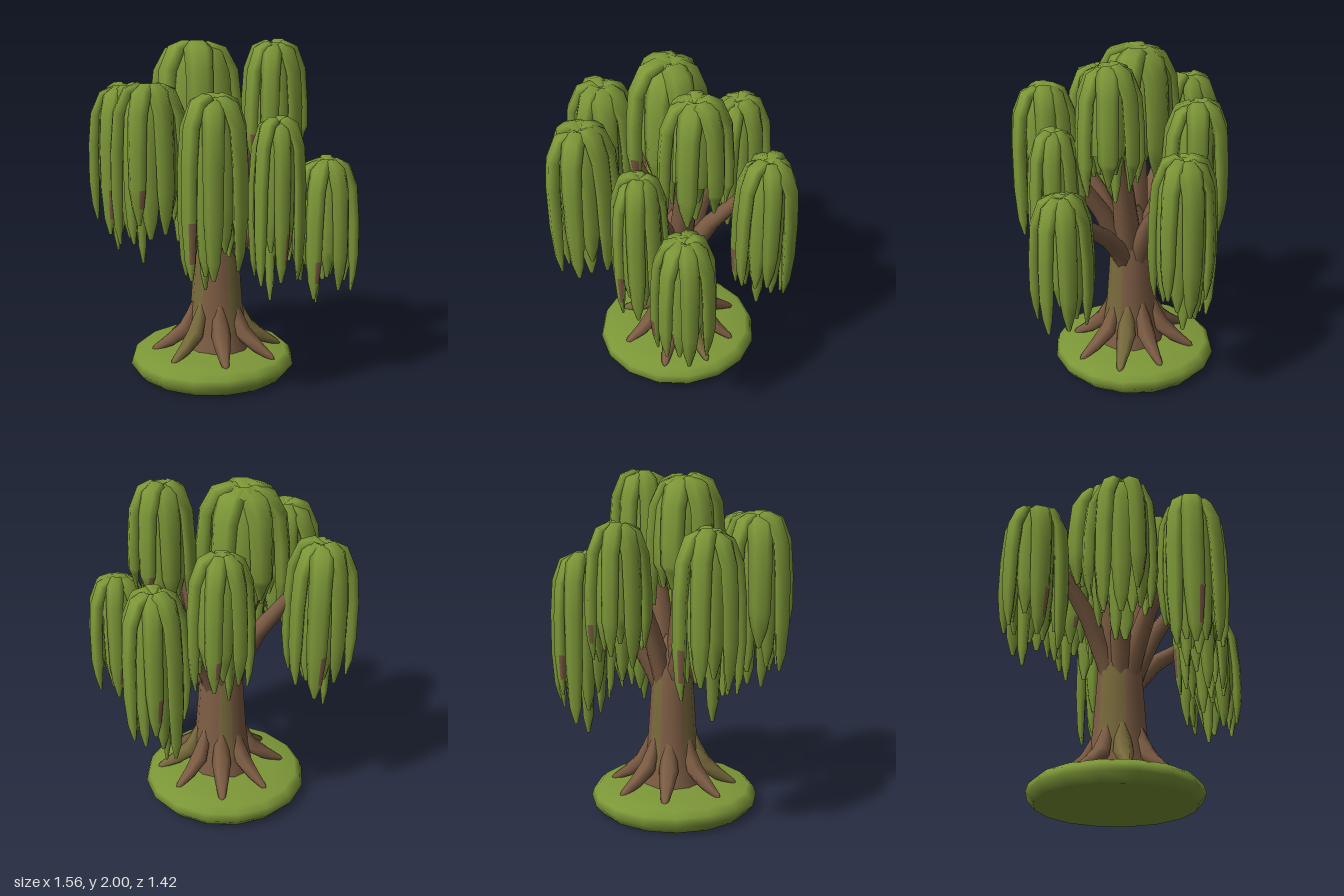
import * as THREE from 'three';
import { mergeGeometries } from 'three/addons/utils/BufferGeometryUtils.js';

const leaf = new THREE.MeshStandardMaterial({ name: 'leafGreen', color: 0x7d9838 });
const bark = new THREE.MeshStandardMaterial({ name: 'barkBrown', color: 0x7d5d44 });
const moss = new THREE.MeshStandardMaterial({ name: 'mossyBark', color: 0x786a3c });

// Small seeded random source
let seed = 7;
const rand = (a, b) => {
  seed = (seed * 16807) % 2147483647;
  return a + (b - a) * (seed / 2147483647);
};

// Sweep an ellipse along points lying in a plane whose normal is `side`
function sweep(pts, wide, thick, side, n) {
  const pos = [], idx = [];
  pts.forEach((p, i) => {
    const t = pts[Math.min(i + 1, pts.length - 1)].clone().sub(pts[Math.max(i - 1, 0)]).normalize();
    const up = t.clone().cross(side).normalize();
    for (let j = 0; j < n; j++) {
      const a = (j / n) * Math.PI * 2;
      const v = p.clone().addScaledVector(side, Math.cos(a) * wide[i]).addScaledVector(up, Math.sin(a) * thick[i]);
      pos.push(v.x, v.y, v.z);
      if (i < pts.length - 1) {
        const k = (j + 1) % n, r = i * n, s = r + n;
        idx.push(r + j, r + k, s + j, r + k, s + k, s + j);
      }
    }
  });
  const g = new THREE.BufferGeometry();
  g.setAttribute('position', new THREE.Float32BufferAttribute(pos, 3));
  g.setIndex(idx);
  g.computeVertexNormals();
  return g;
}

// Sweep in the vertical plane at angle a: profile is [radius, y, halfWidth, halfThickness]
function radial(profile, a, n, cx = 0, cz = 0) {
  const c = Math.cos(a), s = Math.sin(a);
  return sweep(
    profile.map(([r, y]) => new THREE.Vector3(cx + r * c, y, cz + r * s)),
    profile.map(p => p[2]), profile.map(p => p[3]),
    new THREE.Vector3(-s, 0, c), n);
}

function add(parent, name, geometry, material) {
  const m = new THREE.Mesh(geometry, material);
  m.name = name;
  parent.add(m);
  return m;
}

// One hanging strand: rises from the crown, bends over and tapers to a point
const STRAND_SIDES = 6;
function strand(a, k, drop, length, w) {
  return radial([
    [0, -0.045 - drop, 0.03, 0.01],
    [0.06 * k, -0.03 - drop, 0.062 * w, 0.03],
    [0.12 * k, -0.055 - drop, 0.07 * w, 0.036],
    [0.17 * k, -0.17 - drop, 0.066 * w, 0.04],
    [0.188 * k, -0.38, 0.064 * w, 0.04],
    [0.192 * k, -0.4 - (length - 0.4) * 0.45, 0.06 * w, 0.038],
    [0.188 * k, -length + 0.1, 0.042 * w, 0.026],
    [0.178 * k, -length, 0.012, 0.008],
  ], a, STRAND_SIDES);
}

// Foliage clumps: x, top y, z, x radius, z radius, longest strand
const clumps = [
  [-0.58, 1.74, 0.18, 0.205, 0.20, 1.04],
  [-0.25, 1.74, -0.30, 0.195, 0.19, 0.90],
  [-0.12, 2.00, 0.07, 0.27, 0.245, 0.84],
  [0.26, 2.00, -0.17, 0.195, 0.205, 0.82],
  [0.03, 1.54, -0.53, 0.20, 0.195, 1.10],
  [0.60, 1.36, -0.20, 0.19, 0.185, 0.88],
  [0.45, 1.60, 0.09, 0.17, 0.17, 1.05],
  [0.28, 1.75, 0.46, 0.205, 0.215, 1.08],
  [-0.13, 1.785, 0.48, 0.215, 0.215, 1.02],
];

export function createModel() {
  const tree = new THREE.Group();
  tree.name = 'willowTree';
  seed = 7;

  // Grassy round base
  const rim = [[0, 0], [0.455, 0.002], [0.5, 0.055], [0.485, 0.1], [0.45, 0.13], [0.3, 0.145], [0, 0.165]];
  const base = add(tree, 'grassBase', new THREE.LatheGeometry(rim.map(p => new THREE.Vector2(...p)), 16), leaf);
  base.position.set(-0.05, 0, 0.01);

  // Trunk with mossy strips on some of its faces
  const tx = -0.025, sides = 12;
  const stem = [[0.13, 0.21], [0.28, 0.18], [0.42, 0.16], [0.6, 0.147], [0.8, 0.133], [0.95, 0.105], [1.05, 0.04]];
  const trunk = sweep(
    stem.map(([y]) => new THREE.Vector3(tx, y, 0)),
    stem.map(p => p[1]), stem.map(p => p[1] * 0.92), new THREE.Vector3(1, 0, 0), sides);
  for (let f = 0; f < (stem.length - 1) * sides; f++) {
    const row = Math.floor(f / sides), mossy = row > 0 && row < 4 && [0, 4, 7, 8, 11].includes(f % sides);
    trunk.addGroup(f * 6, 6, mossy ? 1 : 0);
  }
  add(tree, 'trunk', trunk, [bark, moss]);

  // Spreading roots
  for (let i = 0; i < 8; i++) {
    const a = (i / 8) * Math.PI * 2 + 0.08 + rand(-0.12, 0.12), e = rand(0.96, 1.07);
    add(tree, 'root', radial([
      [0.12, 0.47, 0.012, 0.012],
      [0.145, 0.36, 0.045, 0.036],
      [0.185, 0.26, 0.058, 0.05],
      [0.27 * e, 0.19, 0.042, 0.038],
      [0.36 * e, 0.14, 0.022, 0.02],
      [0.385 * e, 0.125, 0.002, 0.002],
    ], a, 6, tx, 0), i === 2 || i === 7 ? moss : bark);
  }

  // One branch and one clump of strands for each crown
  clumps.forEach(([x, top, z, rx, rz, len]) => {
    const a = Math.atan2(z, x - tx), d = Math.hypot(x - tx, z), end = top - 0.12;
    const y0 = 0.58, h = end - y0, w = d < 0.36 ? 1.25 : 1;
    add(tree, 'branch', radial([
      [0.03, y0, 0.05, 0.05],
      [0.06 + d * 0.06, y0 + h * 0.27, 0.064 * w, 0.064 * w],
      [0.06 + d * 0.28, y0 + h * 0.51, 0.052 * w, 0.052 * w],
      [d * 0.72, y0 + h * 0.77, 0.038 * w, 0.038 * w],
      [d, end, 0.02, 0.02],
    ], a, 8, tx, 0), bark);

    // Outer strands form a ragged star
    const strands = [], n = 7, turn = rand(0, 1);
    for (let i = 0; i < n; i++) {
      const b = turn + (i / n) * Math.PI * 2 + rand(-0.14, 0.14);
      strands.push(strand(b, rand(0.9, 1.06), rand(0, 0.03), len * rand(0.74, 0.93), rand(0.9, 1.08)));
    }
    // Second ring closes the gaps between them
    for (let i = 0; i < n; i++) {
      const b = turn + ((i + 0.5) / n) * Math.PI * 2;
      strands.push(strand(b, rand(0.66, 0.78), 0.02, len * rand(0.7, 0.9), 0.95));
    }
    // Longest strand hangs near the middle
    strands.push(strand(turn + 2, 0.3, 0.02, len, 0.95));

    // A few bare twig faces show on two of the outer strands
    const foliage = mergeGeometries(strands), perStrand = 7 * STRAND_SIDES * 6;
    let from = 0;
    for (const s of [1, 4]) {
      const start = s * perStrand + (5 * STRAND_SIDES + 3) * 6;
      foliage.addGroup(from, start - from, 0);
      foliage.addGroup(start, 6, 1);
      from = start + 6;
    }
    foliage.addGroup(from, foliage.index.count - from, 0);
    const clump = add(tree, 'foliageClump', foliage, [leaf, bark]);
    clump.position.set(x, top, z);
    clump.scale.set(rx / 0.225, 1, rz / 0.225);
  });
  return tree;
}
